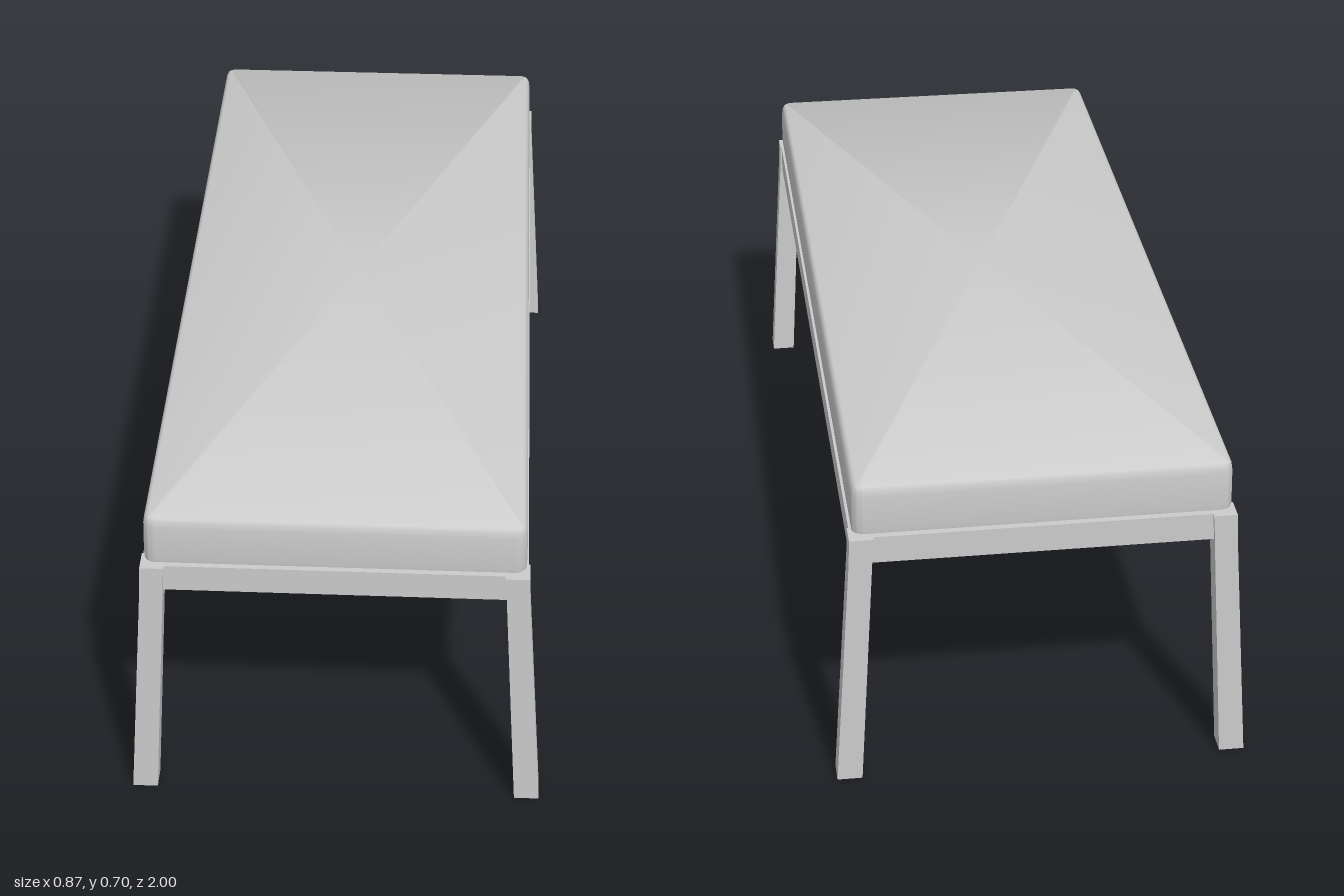
import * as THREE from 'three';
import { toCreasedNormals } from 'three/addons/utils/BufferGeometryUtils.js';

const material = new THREE.MeshStandardMaterial({ color: 0xcccccc });

function addMesh(parent, name, geometry, x = 0, y = 0, z = 0) {
  const mesh = new THREE.Mesh(geometry, material);
  mesh.name = name;
  mesh.position.set(x, y, z);
  parent.add(mesh);
  return mesh;
}

// Rounded-rectangle outline with half sizes a, b and corner radius r
function outline(a, b, r, segments = 6) {
  const points = [];
  for (let corner = 0; corner < 4; corner++) {
    const cx = (corner === 0 || corner === 3 ? 1 : -1) * (a - r);
    const cz = (corner < 2 ? 1 : -1) * (b - r);
    for (let i = 0; i <= segments; i++) {
      const t = (corner + i / segments) * Math.PI / 2;
      points.push([cx + r * Math.cos(t), cz + r * Math.sin(t)]);
    }
  }
  return points;
}

// Cushion: outlines stacked by height and inset, closed by a fan at each end
function cushionGeometry(a, b, r) {
  const profile = [[0.591, 0.001], [0.60, 0], [0.64, 0], [0.675, 0.001],
    [0.689, 0.003], [0.696, 0.007], [0.699, 0.012]];
  const rings = profile.map(([y, inset]) =>
    outline(a - inset, b - inset, r - inset).map(([x, z]) => [x, y, z]));
  const n = rings[0].length;
  const positions = rings.flat(2);
  const bottom = rings.length * n, top = bottom + 1;
  positions.push(0, 0.591, 0, 0, 0.699, 0);
  const index = [];
  for (let i = 0; i < n; i++) {
    const j = (i + 1) % n;
    for (let k = 0; k < rings.length - 1; k++) {
      const p = k * n, q = p + n;
      index.push(p + i, q + i, q + j, p + i, q + j, p + j);
    }
    const last = (rings.length - 1) * n;
    index.push(bottom, i, j, top, last + j, last + i);
  }
  const geometry = new THREE.BufferGeometry();
  geometry.setAttribute('position', new THREE.Float32BufferAttribute(positions, 3));
  geometry.setIndex(index);
  return toCreasedNormals(geometry, 0.6);
}

// Splayed leg, upright where it meets the rails; side is +1 or -1 in x
function legGeometry(side, depth) {
  const points = [[0.382, 0], [0.435, 0], [0.40, 0.53], [0.398, 0.585],
    [0.348, 0.585], [0.35, 0.57], [0.352, 0.53]];
  const shape = new THREE.Shape(points.map(([x, y]) => new THREE.Vector2(side * x, y)));
  return new THREE.ExtrudeGeometry(shape, { depth, bevelEnabled: false });
}

export function createModel() {
  const group = new THREE.Group();
  group.name = 'bench';

  addMesh(group, 'cushion', cushionGeometry(0.391, 0.986, 0.025));

  // Legs at the four corners
  const legDepth = 0.052;
  for (const side of [1, -1]) {
    for (const end of [1, -1]) {
      const name = (end > 0 ? 'front' : 'back') + (side > 0 ? 'Left' : 'Right') + 'Leg';
      addMesh(group, name, legGeometry(side, legDepth), 0, 0, end > 0 ? 1 - legDepth : -1);
    }
  }

  // Rails joining the legs under the cushion
  const thick = 0.03, height = 0.06, railY = 0.555;
  for (const s of [1, -1]) {
    addMesh(group, s > 0 ? 'leftRail' : 'rightRail',
      new THREE.BoxGeometry(thick, height, 1.9), s * (0.395 - thick / 2), railY, 0);
    addMesh(group, s > 0 ? 'frontRail' : 'backRail',
      new THREE.BoxGeometry(0.704, height, thick), 0, railY, s * (0.99 - thick / 2));
  }
  return group;
}
